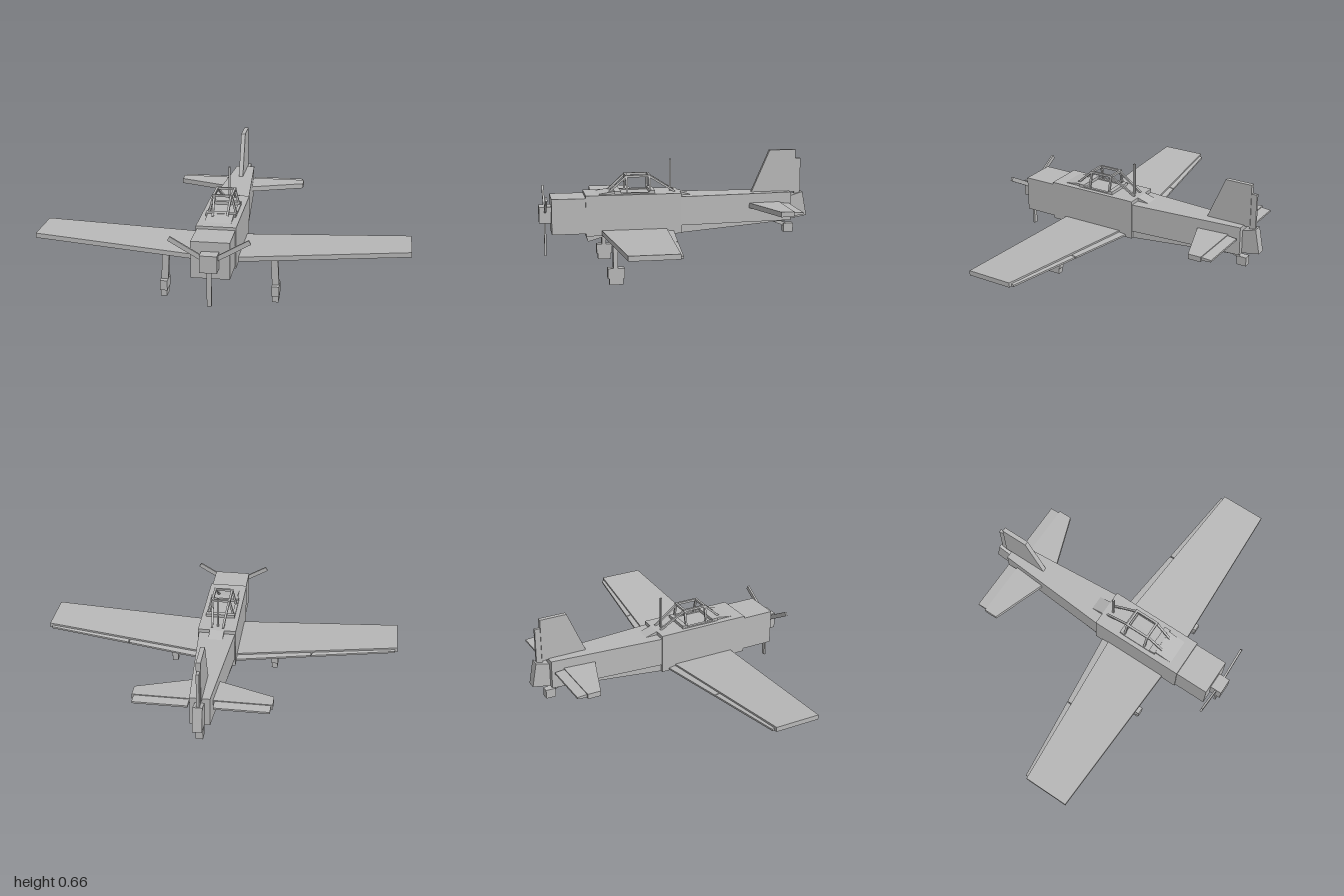
import * as THREE from 'three';
import { ConvexGeometry } from 'three/addons/geometries/ConvexGeometry.js';

export function createModel() {
  const plane = new THREE.Group();
  plane.name = 'airplane';
  const grey = new THREE.MeshStandardMaterial({ color: 0xb8b8b8 });
  grey.name = 'grey';

  const add = (name, geometry) => {
    const mesh = new THREE.Mesh(geometry, grey);
    mesh.name = name;
    plane.add(mesh);
    return mesh;
  };
  // box from its limits
  const box = (name, x0, x1, y0, y1, z0, z1) => {
    const mesh = add(name, new THREE.BoxGeometry(x1 - x0, y1 - y0, z1 - z0));
    mesh.position.set((x0 + x1) / 2, (y0 + y1) / 2, (z0 + z1) / 2);
    return mesh;
  };
  // flat-sided solid from its corners
  const solid = (name, corners) =>
    add(name, new ConvexGeometry(corners.map(c => new THREE.Vector3(...c))));
  // side outline of [z, y, halfWidth] spread to both sides
  const profile = (name, outline) =>
    solid(name, outline.flatMap(([z, y, w]) => [[-w, y, z], [w, y, z]]));
  // planform of [x, z, bottom, top], on side s
  const panel = (name, s, outline) =>
    solid(name, outline.flatMap(([x, z, b, t]) => [[s * x, b, z], [s * x, t, z]]));
  // square bar between two points
  const bar = (name, a, b, width, depth = width) => {
    const from = new THREE.Vector3(...a), to = new THREE.Vector3(...b);
    const mesh = add(name, new THREE.BoxGeometry(width, depth, from.distanceTo(to)));
    mesh.position.copy(from).add(to).multiplyScalar(0.5);
    mesh.lookAt(to);
    return mesh;
  };

  // fuselage
  box('cowling', -0.1, 0.1, 0.235, 0.43, 0.5, 0.69);
  box('centreFuselage', -0.105, 0.105, 0.222, 0.445, -0.02, 0.505);
  profile('rearFuselage', [
    [-0.02, 0.425, 0.1], [-0.02, 0.265, 0.1], [-0.655, 0.265, 0.053], [-0.655, 0.425, 0.053]]);
  profile('bellyFairing', [
    [-0.02, 0.27, 0.09], [-0.02, 0.222, 0.09], [-0.655, 0.27, 0.045], [-0.655, 0.264, 0.045]]);
  profile('chinIntake', [[0.505, 0.223, 0.04], [0.49, 0.178, 0.04], [0.335, 0.223, 0.04]]);
  profile('spineFairing', [[-0.02, 0.445, 0.04], [-0.02, 0.42, 0.04], [-0.09, 0.424, 0.04]]);

  // propeller
  box('spinner', -0.045, 0.045, 0.29, 0.38, 0.685, 0.755);
  for (const angle of [30, 150, 270]) {
    const a = THREE.MathUtils.degToRad(angle);
    const blade = add('propellerBlade', new THREE.BoxGeometry(0.235, 0.024, 0.011));
    blade.position.set(Math.cos(a) * 0.1175, 0.335 + Math.sin(a) * 0.1175, 0.722);
    blade.rotation.z = a;
  }

  // fin and rudder
  profile('fin', [[-0.435, 0.42, 0.012], [-0.54, 0.66, 0.012], [-0.69, 0.66, 0.012], [-0.69, 0.42, 0.012]]);
  box('rudder', -0.008, 0.008, 0.41, 0.61, -0.72, -0.685);
  profile('tailCone', [
    [-0.645, 0.395, 0.025], [-0.73, 0.42, 0.025], [-0.755, 0.285, 0.025], [-0.645, 0.265, 0.025]]);

  // tail wheel
  bar('tailStrut', [0, 0.27, -0.54], [0, 0.225, -0.655], 0.02, 0.02);
  box('tailWheel', -0.02, 0.02, 0.19, 0.24, -0.68, -0.625);

  for (const s of [1, -1]) {
    // wing with dihedral
    const base = x => 0.225 + (x - 0.1) * 0.0722;
    const wing = (x, z, low = 0, high = 0.026) => [x, z, base(x) + low, base(x) + high];
    panel('wing', s, [wing(0.09, 0.42), wing(1, 0.39), wing(1, 0.14), wing(0.09, 0.06)]);
    panel('flap', s, [
      wing(0.09, 0.07, 0.002, 0.018), wing(0.52, 0.11, 0.002, 0.018),
      wing(0.52, 0.071, 0.002, 0.012), wing(0.09, 0.02, 0.002, 0.012)]);
    panel('aileron', s, [
      wing(0.525, 0.11, 0.002, 0.018), wing(0.985, 0.15, 0.002, 0.018),
      wing(0.985, 0.125, 0.002, 0.012), wing(0.525, 0.072, 0.002, 0.012)]);

    // tailplane
    const tail = (x, z) => [x, z, 0.345, 0.373];
    panel('tailplane', s, [tail(0.04, -0.4), tail(0.365, -0.515), tail(0.365, -0.588), tail(0.04, -0.588)]);
    panel('elevator', s, [
      [0.065, -0.58, 0.349, 0.369], [0.355, -0.58, 0.349, 0.369],
      [0.355, -0.642, 0.354, 0.364], [0.065, -0.642, 0.354, 0.364]]);

    // main landing gear
    bar('gearStrut', [s * 0.29, 0.25, 0.37], [s * 0.3, 0.06, 0.37], 0.024, 0.037);
    box('wheelFairing', s * 0.3 - 0.02, s * 0.3 + 0.02, 0.035, 0.09, 0.322, 0.412);
    box('wheel', s * 0.3 - 0.017, s * 0.3 + 0.017, 0, 0.04, 0.33, 0.404);

    // cockpit cage
    for (const z of [0.275, 0.148])
      bar('cagePost', [s * 0.073, 0.44, z], [s * 0.048, 0.54, z], 0.011);
    bar('cageRail', [s * 0.048, 0.538, 0.281], [s * 0.048, 0.538, 0.142], 0.012);
    bar('frontBrace', [s * 0.038, 0.452, 0.372], [s * 0.045, 0.537, 0.278], 0.011);
    bar('rearBrace', [s * 0.03, 0.445, 0.005], [s * 0.045, 0.535, 0.148], 0.011);
    box('cockpitSill', s * 0.073 - 0.008, s * 0.073 + 0.008, 0.44, 0.452, 0.13, 0.33);
  }
  for (const z of [0.275, 0.148]) box('cageCrossbar', -0.054, 0.054, 0.532, 0.544, z - 0.006, z + 0.006);
  box('frontSill', -0.08, 0.08, 0.44, 0.462, 0.31, 0.345);
  box('rearSill', -0.08, 0.08, 0.44, 0.462, 0.122, 0.148);
  profile('cockpitCoaming', [[0.45, 0.444, 0.07], [0.345, 0.46, 0.07], [0.345, 0.44, 0.07]]);
  box('antenna', -0.005, 0.005, 0.44, 0.622, 0.02, 0.031);
  return plane;
}
